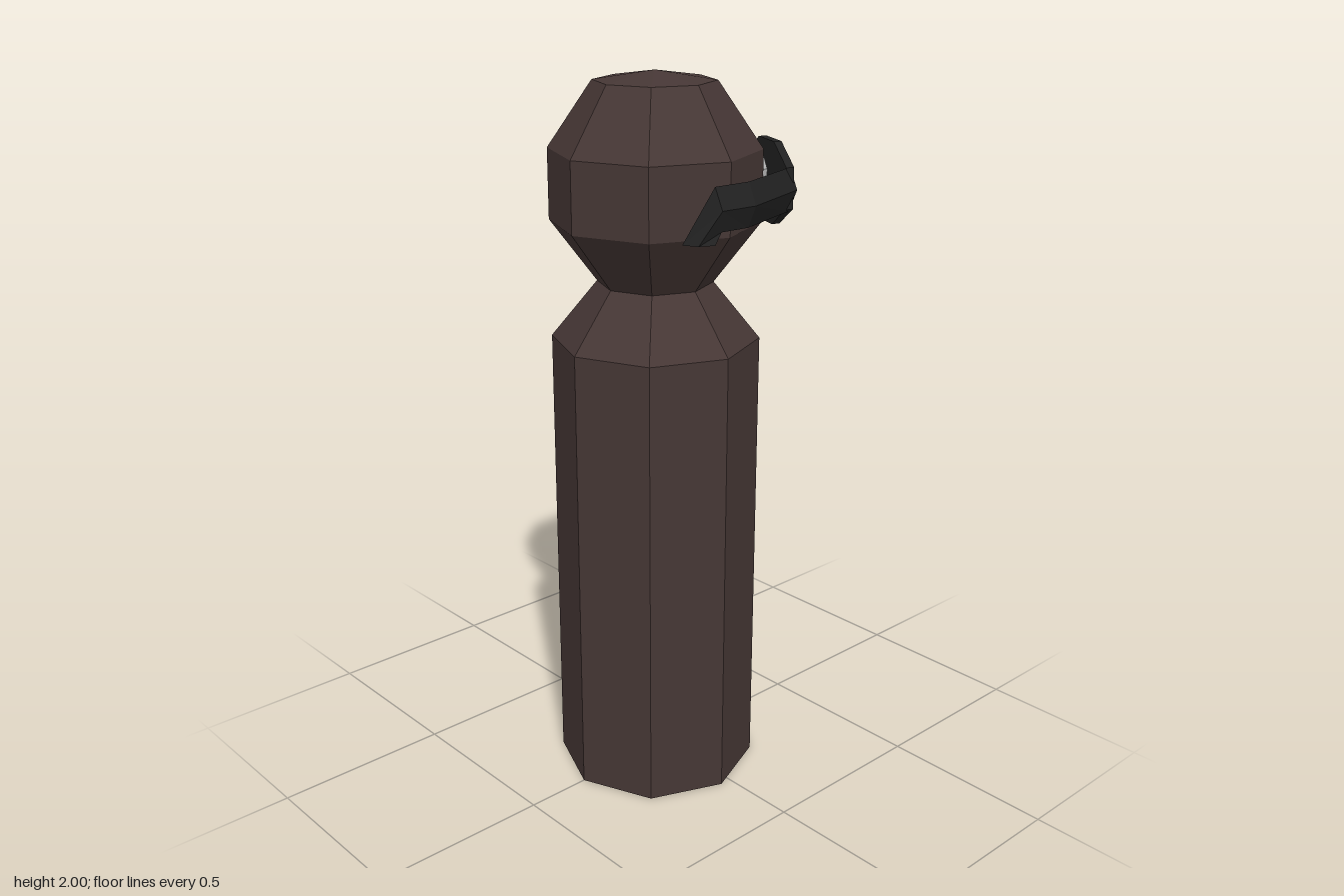
import * as THREE from 'three';

const mat = (color) => new THREE.MeshStandardMaterial({ color, flatShading: true, roughness: 0.9 });
const skin = mat(0x463735);
const black = mat(0x222222);
const grey = mat(0xaaaaaa);
const EYE_Y = 1.7;
const YAW = Math.PI - 0.397; // lenses follow the facets of the face

function add(group, name, geometry, material) {
  const mesh = new THREE.Mesh(geometry, material);
  mesh.name = name;
  group.add(mesh);
  return mesh;
}

// Thin octagonal plate: w and h overall, flat edges topW wide and sideH high
function octagonPlate(w, h, topW, sideH, depth) {
  const [a, b, c, d] = [w / 2, h / 2, topW / 2, sideH / 2];
  const pts = [[a, -d], [a, d], [c, b], [-c, b], [-a, d], [-a, -d], [-c, -b], [c, -b]];
  const shape = new THREE.Shape(pts.map(([x, y]) => new THREE.Vector2(x, y)));
  return new THREE.ExtrudeGeometry(shape, { depth, bevelEnabled: false }).translate(0, 0, -depth);
}

// Temple arm: diamond sections joined along a bent path; side is 1 or -1
function armGeometry(side) {
  // centre, half-thickness vector, half-height vector
  const sections = [
    [[0.248, 1.695, -0.218], [0.02, 0, -0.008], [0, 0.058, 0]],
    [[0.318, 1.695, 0.005], [0.023, 0, -0.003], [0, 0.058, 0]],
    [[0.311, 1.695, 0.103], [0.021, 0, 0.006], [0, 0.058, 0.012]],
    [[0.284, 1.607, 0.143], [0.01, 0, 0.01], [-0.029, 0, 0.029]],
  ];
  const pos = [];
  for (const [c, t, h] of sections) {
    for (const [u, v] of [[1, 0], [0, 1], [-1, 0], [0, -1]]) {
      const p = c.map((n, i) => n + u * t[i] + v * h[i]);
      pos.push(p[0] * side, p[1], p[2]);
    }
  }
  const index = [];
  const tri = (a, b, c) => (side > 0 ? index.push(a, b, c) : index.push(a, c, b));
  const quad = (a, b, c, d) => { tri(a, b, c); tri(a, c, d); };
  for (let i = 0; i < sections.length - 1; i++) {
    for (let k = 0; k < 4; k++) {
      const n = (k + 1) % 4;
      quad(i * 4 + k, i * 4 + n, i * 4 + 4 + n, i * 4 + 4 + k);
    }
  }
  const e = (sections.length - 1) * 4;
  quad(0, 3, 2, 1);
  quad(e, e + 1, e + 2, e + 3);
  const g = new THREE.BufferGeometry();
  g.setAttribute('position', new THREE.Float32BufferAttribute(pos, 3));
  g.setIndex(index);
  const flat = g.toNonIndexed();
  flat.computeVertexNormals();
  return flat;
}

export function createModel() {
  const model = new THREE.Group();

  // Eight-sided peg body and head turned from one profile
  const profile = [[0, 0], [0.283, 0], [0.283, 1.29], [0.157, 1.445], [0.283, 1.61],
    [0.283, 1.8], [0.163, 1.975], [0, 2]].map(([r, y]) => new THREE.Vector2(r, y));
  add(model, 'bodyAndHead', new THREE.LatheGeometry(profile, 8), skin).position.z = 0.033;

  // Eyes and glasses
  const glasses = new THREE.Group();
  glasses.name = 'glasses';
  model.add(glasses);
  for (const side of [1, -1]) {
    const label = side > 0 ? 'left' : 'right';

    const eye = add(model, label + 'Eye', octagonPlate(0.185, 0.19, 0.1, 0.09, 0.012), grey);
    eye.position.set(0.111 * side, EYE_Y, -0.222);
    eye.rotation.y = YAW * side;

    const lens = add(glasses, label + 'Lens', octagonPlate(0.271, 0.22, 0.1, 0.11, 0.022), black);
    lens.position.set(0.14 * side, EYE_Y, -0.2675);
    lens.rotation.y = YAW * side;

    add(glasses, label + 'Arm', armGeometry(side), black);
  }
  const bridge = add(glasses, 'bridge', new THREE.BoxGeometry(0.036, 0.1, 0.022), black);
  bridge.position.set(0, EYE_Y, -0.309);

  return model;
}
